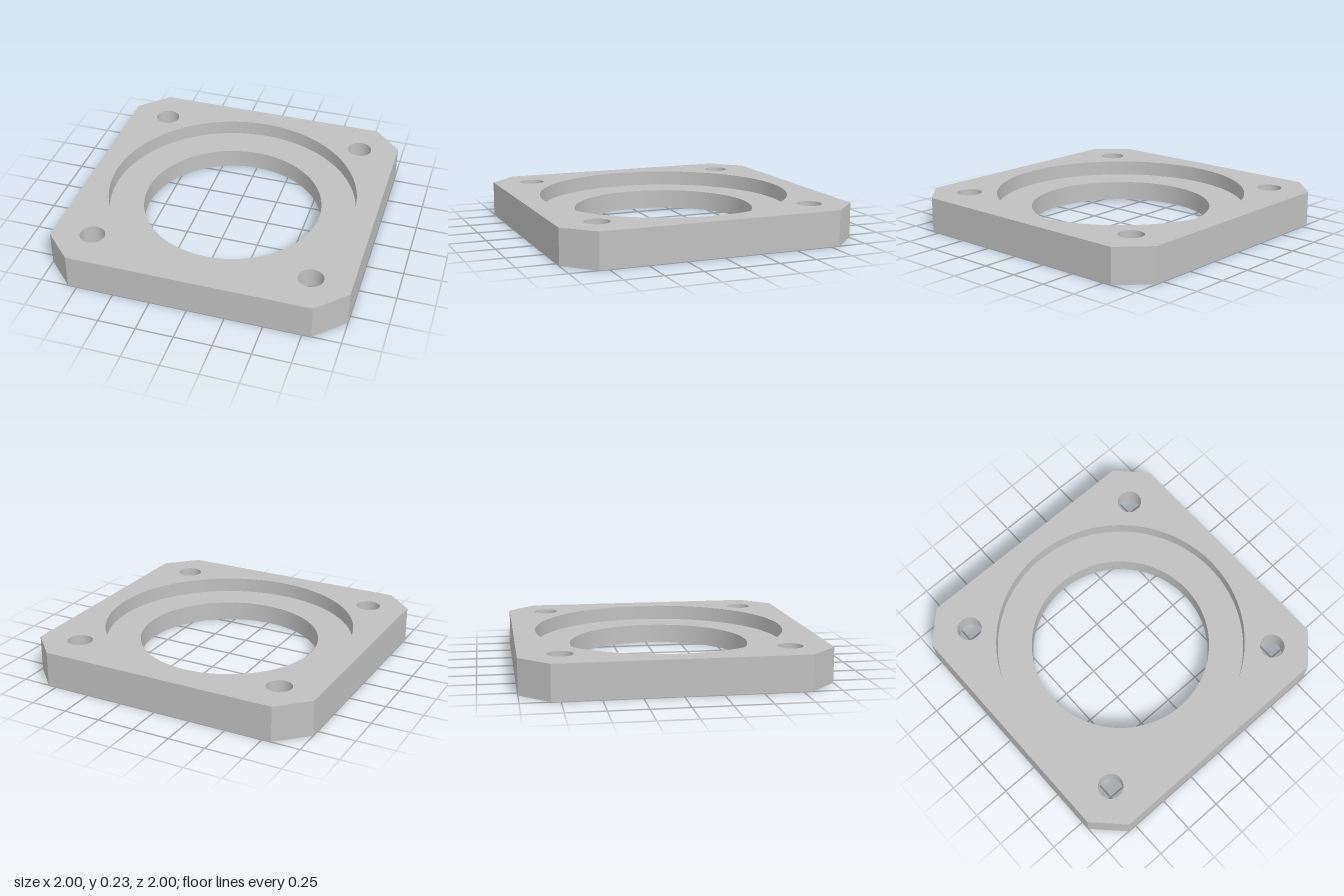
import * as THREE from 'three';

const H = 0.235;          // plate thickness
const FLOOR = 0.133;      // height of the recess floor
const CUT = 0.81;         // where the corner chamfers begin
const BORE = 0.613, RECESS = 0.849;
const HOLE = 0.083, SINK = 0.178, SINK_DEPTH = 0.09, HOLE_POS = 0.733;
const SIGNS = [[1, 1], [1, -1], [-1, -1], [-1, 1]];

export function createModel() {
  const group = new THREE.Group();
  const grey = new THREE.MeshStandardMaterial({ color: 0xc0c0c0 });
  grey.name = 'plain grey metal';

  const add = (geometry, name) => {
    const mesh = new THREE.Mesh(geometry, grey);
    mesh.name = name;
    group.add(mesh);
    return mesh;
  };

  // Flat octagonal face with a centre opening and four corner openings
  const face = (centreRadius, cornerRadius) => {
    const shape = new THREE.Shape([
      [1, -CUT], [1, CUT], [CUT, 1], [-CUT, 1],
      [-1, CUT], [-1, -CUT], [-CUT, -1], [CUT, -1],
    ].map(([x, y]) => new THREE.Vector2(x, y)));
    const opening = (x, y, r) =>
      shape.holes.push(new THREE.Path().absarc(x, y, r, 0, Math.PI * 2, true));
    opening(0, 0, centreRadius);
    for (const [sx, sz] of SIGNS) opening(sx * HOLE_POS, sz * HOLE_POS, cornerRadius);
    return new THREE.ShapeGeometry(shape, 96);
  };

  // Revolved strip; running downward or inward makes it face the opening
  const strip = (name, r0, y0, r1, y1, x = 0, z = 0) => {
    const points = [new THREE.Vector2(r0, y0), new THREE.Vector2(r1, y1)];
    add(new THREE.LatheGeometry(points, 96), name).position.set(x, 0, z);
  };

  // Top and bottom faces
  add(face(RECESS, HOLE).rotateX(-Math.PI / 2).translate(0, H, 0), 'topFace');
  add(face(BORE, SINK).rotateX(Math.PI / 2), 'bottomFace');

  // Long sides and corner chamfers
  for (let i = 0; i < 8; i++) {
    const chamfer = i % 2 === 1;
    const width = chamfer ? (1 - CUT) * Math.SQRT2 : 2 * CUT;
    const distance = chamfer ? (1 + CUT) / Math.SQRT2 : 1;
    const side = new THREE.PlaneGeometry(width, H)
      .translate(0, H / 2, distance).rotateY(i * Math.PI / 4);
    add(side, chamfer ? 'cornerChamfer' : 'sideWall');
  }

  // Stepped centre opening
  strip('recessWall', RECESS, H, RECESS, FLOOR);
  strip('recessFloor', RECESS, FLOOR, BORE, FLOOR);
  strip('boreWall', BORE, FLOOR, BORE, 0);

  // Corner screw holes, countersunk from below
  for (const [sx, sz] of SIGNS) {
    const x = sx * HOLE_POS, z = sz * HOLE_POS;
    strip('screwHole', HOLE, H, HOLE, SINK_DEPTH, x, z);
    strip('countersink', HOLE, SINK_DEPTH, SINK, 0, x, z);
  }
  return group;
}
